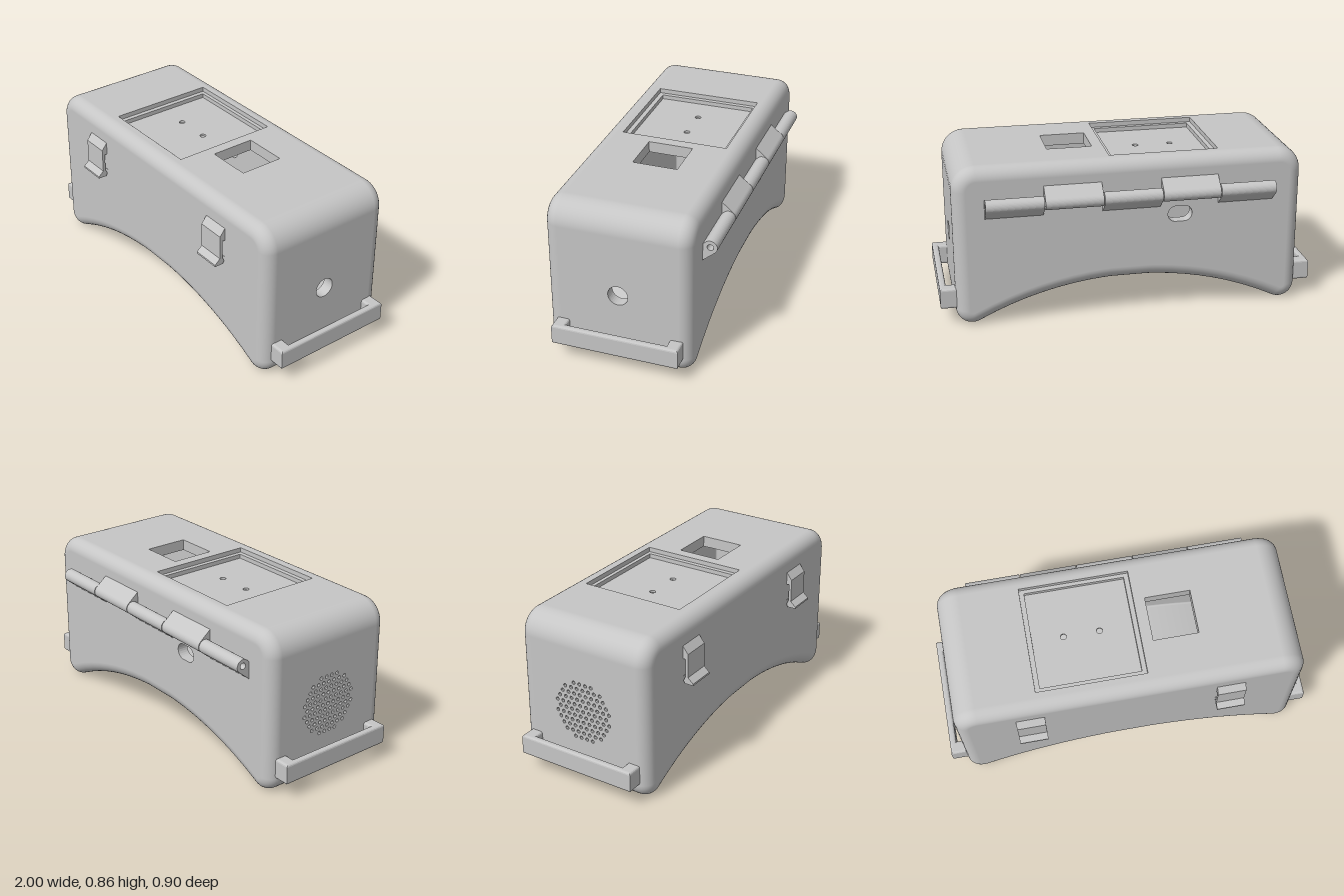
import * as THREE from 'three';

const grey = new THREE.MeshStandardMaterial({ color: 0xc6c6c6 });
grey.name = 'light grey plastic';

const WALL = 0.06, FILLET = 0.07, HALF_Z = 0.3825, MID_Z = 0.0075;
const ARC_R = 1.757, ARC_Y = 0.2 - ARC_R;   // concave underside
const V3 = (x, y, z) => new THREE.Vector3(x, y, z);
const V2 = (x, y) => new THREE.Vector2(x, y);

// Hole outlines, counter-clockwise
const rect = (u0, u1, v0, v1) => [V2(u0, v0), V2(u1, v0), V2(u1, v1), V2(u0, v1)];
function circle(u, v, r, n = 24, stretch = 0) {
  const pts = [];
  for (let i = 0; i < n; i++) {
    const a = ((i + 0.5) / n) * Math.PI * 2;
    pts.push(V2(u + r * Math.cos(a) + Math.sign(Math.cos(a)) * stretch, v + r * Math.sin(a)));
  }
  return pts;
}

// Front outline: points with outward normals, so it can be inset by any distance
function makeProfile() {
  const pts = [];
  const arc = (cx, cy, r, a0, a1, n) => {
    for (let i = 0; i <= n; i++) {
      const a = a0 + ((a1 - a0) * i) / n, nx = Math.cos(a), ny = Math.sin(a);
      pts.push({ x: cx + r * nx, y: cy + r * ny, nx, ny });
    }
  };
  const P = Math.PI, tip = Math.atan2(ARC_Y - 0.085, -0.835);
  arc(0.835, 0.085, 0.085, tip, 0, 12);
  arc(0.795, 0.735, 0.125, 0, P / 2, 10);
  arc(-0.795, 0.735, 0.125, P / 2, P, 10);
  arc(-0.835, 0.085, 0.085, P, 2 * P - (P + tip), 12);
  const half = [0.1, 0.145, 0.215, 0.3, 0.38, 0.46, 0.54, 0.62, 0.71];
  for (const x of [...half.map(v => -v).reverse(), ...half]) {
    const dy = Math.sqrt(ARC_R * ARC_R - x * x);
    pts.push({ x, y: ARC_Y + dy, nx: -x / ARC_R, ny: -dy / ARC_R });
  }
  return pts;
}

// Hollow case: outer skin, inner skin and the walls of every opening
function makeCase() {
  const prof = makeProfile(), N = prof.length;
  const pos = [], nor = [];
  const tri = (ps, ns, flip) => {
    for (const i of flip ? [0, 2, 1] : [0, 1, 2]) {
      pos.push(...ps[i].toArray());
      const n = ns[i];
      nor.push(...(flip ? [-n.x, -n.y, -n.z] : [n.x, n.y, n.z]));
    }
  };
  const quad = (p, n, flip) => {
    tri([p[0], p[1], p[2]], [n[0], n[1], n[2]], flip);
    tri([p[0], p[2], p[3]], [n[0], n[2], n[3]], flip);
  };
  // Panel with openings; map(u, v, depth) places it, normal(u) orients it
  const panel = (outline, holes, map, normal, depth) => {
    const shape = new THREE.Shape(outline);
    holes.forEach(h => shape.holes.push(new THREE.Path(h)));
    const g = new THREE.ShapeGeometry(shape), p = g.attributes.position;
    for (let i = 0; i < g.index.count; i += 3) {
      const id = [0, 1, 2].map(k => g.index.getX(i + k));
      tri(id.map(k => map(p.getX(k), p.getY(k), depth)), id.map(k => normal(p.getX(k))), depth > 0);
    }
    if (depth > 0) return;
    for (const h of holes) h.forEach((a, i) => {
      const b = h[(i + 1) % h.length];
      const q = [map(a.x, a.y, 0), map(b.x, b.y, 0), map(b.x, b.y, WALL), map(a.x, a.y, WALL)];
      const n = q[1].clone().sub(q[0]).cross(q[3].clone().sub(q[0])).normalize();
      quad(q, [n, n, n, n], false);
    });
  };

  // Speaker grille, a hexagonal pattern of small holes
  const grille = [];
  for (let r = -6; r <= 6; r++) for (let c = -6; c <= 6; c++) {
    const z = (c + (r & 1 ? 0.5 : 0)) * 0.035, y = r * 0.0303;
    if (Math.hypot(z, y) < 0.168) grille.push(circle(0.01 + y, MID_Z + z, 0.01, 8));
  }
  // Openings for each flat strip of the outline, chosen by the strip's middle
  const openings = (mx, my) => {
    const at = (x, y) => Math.hypot(mx - x, my - y) < 0.02;
    if (at(0, 0.86)) return [rect(-0.1, 0.48, -0.285, 0.29), rect(-0.4, -0.16, -0.12, 0.12)];
    if (at(0.92, 0.41)) return [circle(-0.01, MID_Z, 0.053, 32)];
    if (at(-0.92, 0.41)) return grille;
    if (at(0, 0.2)) return [rect(-0.083, 0.083, -0.078, 0.078), circle(0, -0.2, 0.05)];
    if (at(0.18, 0.19) || at(-0.18, 0.19)) return [circle(0, 0.18, 0.02, 16)];
    return [];
  };

  for (const d of [0, WALL]) {
    const f = FILLET - d, H = HALF_Z - d, flip = d > 0;
    const zf = HALF_Z - FILLET;
    // rounded front and back rims
    const steps = 8;
    for (const s of [1, -1]) for (let k = 0; k < steps; k++) for (let i = 0; i < N; i++) {
      const at = (p, kk) => {
        const a = (kk / steps) * Math.PI / 2, o = d + f * (1 - Math.cos(a));
        return [V3(p.x - p.nx * o, p.y - p.ny * o, MID_Z + s * (zf + f * Math.sin(a))),
          V3(p.nx * Math.cos(a), p.ny * Math.cos(a), s * Math.sin(a))];
      };
      const p = prof[i], q = prof[(i + 1) % N];
      const c = [at(p, k), at(q, k), at(q, k + 1), at(p, k + 1)];
      if (s < 0) c.reverse();
      quad(c.map(e => e[0]), c.map(e => e[1]), flip);
    }
    // strips around the body
    prof.forEach((p, i) => {
      const q = prof[(i + 1) % N];
      const off = (e, o) => V2(e.x - e.nx * o, e.y - e.ny * o);
      const len = o => off(p, o).distanceTo(off(q, o));
      const L = len(d);
      const map = (u, v, o) => {
        const c = off(p, o).lerp(off(q, o), u / len(o) + 0.5);
        return V3(c.x, c.y, v);
      };
      const normal = u => V3(p.nx, p.ny, 0).lerp(V3(q.nx, q.ny, 0), u / L + 0.5).normalize();
      panel(rect(-L / 2, L / 2, MID_Z - zf, MID_Z + zf),
        openings((p.x + q.x) / 2, (p.y + q.y) / 2), map, normal, d);
    });
    // front and back faces, with a cable slot in the back
    const face = prof.map(p => V2(p.x - p.nx * FILLET, p.y - p.ny * FILLET));
    panel(face, [], (u, v, o) => V3(u, v, MID_Z + HALF_Z - o), () => V3(0, 0, 1), d);
    panel(face, [circle(0.26, 0.545, 0.043, 24, 0.022)],
      (u, v, o) => V3(-u, v, MID_Z - HALF_Z + o), () => V3(0, 0, -1), d);
  }
  const g = new THREE.BufferGeometry();
  g.setAttribute('position', new THREE.Float32BufferAttribute(pos, 3));
  g.setAttribute('normal', new THREE.Float32BufferAttribute(nor, 3));
  return g;
}

export function createModel() {
  const model = new THREE.Group();
  const add = (name, geometry) => {
    const m = new THREE.Mesh(geometry, grey);
    m.name = name;
    model.add(m);
    return m;
  };
  const extrude = (pts, depth, holes = [], bevel = 0) => {
    const s = new THREE.Shape(pts);
    holes.forEach(h => s.holes.push(new THREE.Path(h)));
    return new THREE.ExtrudeGeometry(s, { depth, bevelEnabled: bevel > 0, bevelSize: bevel,
      bevelThickness: bevel, bevelOffset: -bevel, bevelSegments: 3 });
  };
  // Side profiles drawn as (z, y), extruded along x from x0
  const alongX = (g, x0) => g.rotateY(-Math.PI / 2).scale(1, 1, 1).translate(x0, 0, 0);

  add('case', makeCase());

  // Screen recess: ledge and lower floor with two screw holes
  const flat = (g, y) => g.rotateX(-Math.PI / 2).translate(0, y, 0);
  const inner = rect(-0.455, 0.075, -0.265, 0.265);
  add('screenLedge', flat(extrude(rect(-0.48, 0.1, -0.29, 0.285), 0.035, [inner]), 0.8));
  add('screenFloor', flat(extrude(inner, 0.012,
    [circle(-0.29, 0, 0.016), circle(-0.1, 0, 0.016)]), 0.8));

  // Hinge: alternating knuckles braced from below and from above
  const edges = [-0.76, -0.462, -0.155, 0.153, 0.457, 0.76];
  for (let i = 0; i < 5; i++) {
    const up = i % 2 ? -1 : 1, pts = [V2(0.365, 0.67 - 0.087 * up)];
    for (let k = 0; k <= 20; k++) {
      const a = THREE.MathUtils.degToRad(-50 + (185 * k) / 20);
      pts.push(V2(0.413 + 0.036 * Math.cos(a), 0.67 + up * 0.036 * Math.sin(a)));
    }
    pts.push(V2(0.365, 0.67 + 0.005 * up));
    const g = extrude(pts, edges[i + 1] - edges[i] - 0.004, [circle(0.413, 0.67, 0.0165)]);
    // profile (distance behind centre, y) turned so depth runs along +x
    add('hingeKnuckle', g.rotateY(Math.PI / 2).translate(edges[i] + 0.002, 0, 0));
  }

  // Front latches with the catches they hook over
  const latch = [[0.38, 0.752], [0.42, 0.7], [0.42, 0.572], [0.45, 0.545], [0.45, 0.535],
    [0.403, 0.535], [0.394, 0.55], [0.405, 0.575], [0.405, 0.67], [0.38, 0.67]].map(p => V2(...p));
  const hook = [[0.38, 0.585], [0.391, 0.572], [0.391, 0.55], [0.38, 0.545]].map(p => V2(...p));
  for (const x of [-0.53, 0.525]) {
    add('latch', alongX(extrude(latch, 0.15), x + 0.075));
    add('latchCatch', alongX(extrude(hook, 0.15), x + 0.075));
  }

  // Strap bars on both ends
  const bar = [[0.9, -0.33], [1, -0.33], [1, 0.34], [0.9, 0.34], [0.9, 0.272], [0.965, 0.272],
    [0.965, -0.262], [0.9, -0.262]];
  for (const s of [1, -1]) {
    const pts = bar.map(([x, z]) => V2(s * x, -z));
    add(s > 0 ? 'leftStrapBar' : 'rightStrapBar', flat(extrude(pts, 0.086, [], 0.012), 0.102));
  }
  return model;
}
